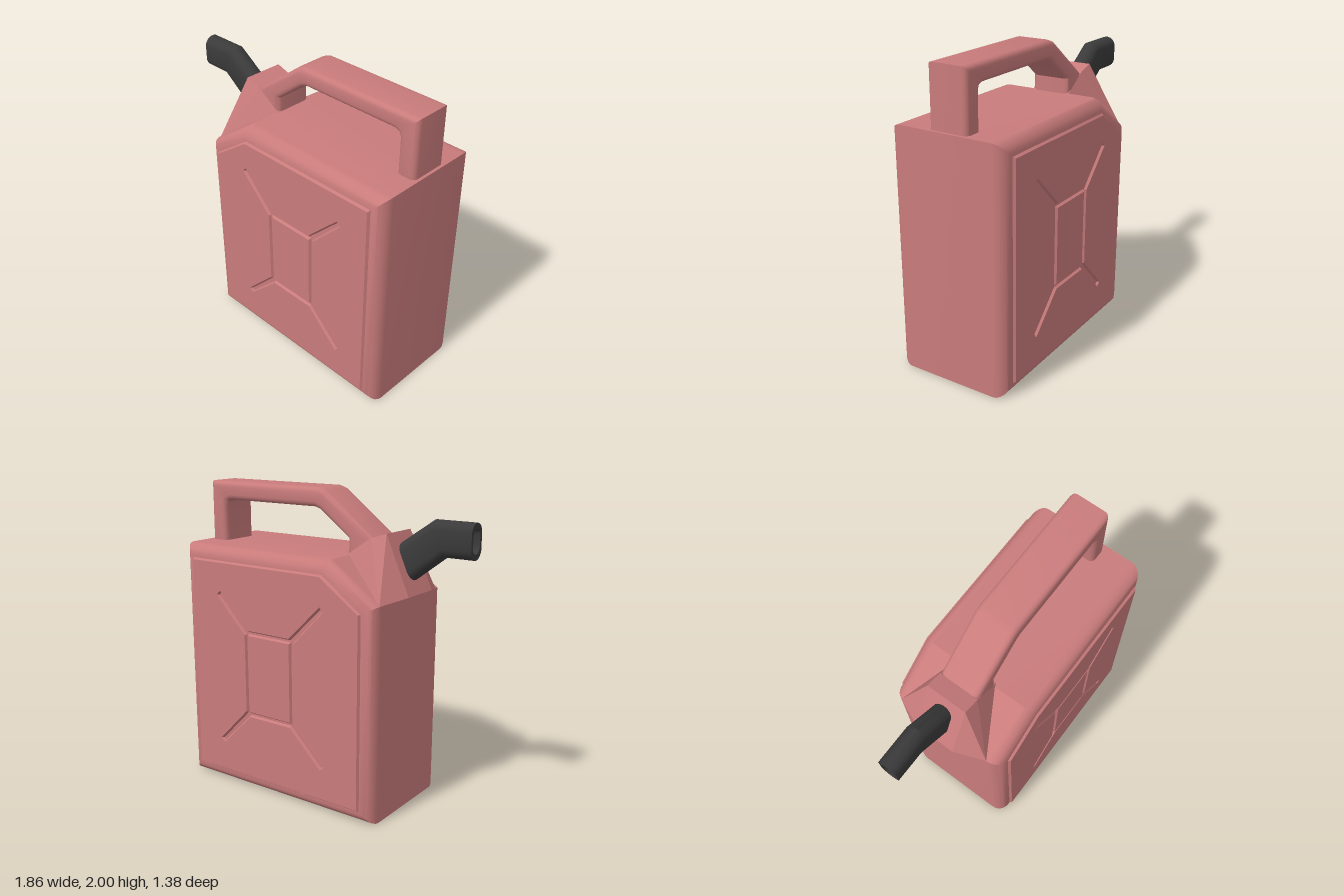
import * as THREE from 'three';
import { toCreasedNormals } from 'three/addons/utils/BufferGeometryUtils.js';
import { ConvexGeometry } from 'three/addons/geometries/ConvexGeometry.js';

const red = new THREE.MeshStandardMaterial({ color: 0xc97b7b });
const black = new THREE.MeshStandardMaterial({ color: 0x3a3a3a, side: THREE.DoubleSide });

const points = (list) => list.map(([x, y]) => new THREE.Vector2(x, y));

function mesh(name, geometry, material = red) {
  const m = new THREE.Mesh(geometry, material);
  m.name = name;
  return m;
}

// Extrudes side-on shapes to a total width centred on z = 0, bevelling inward.
function slab(shapes, width, bevel, segments, thickness = bevel) {
  const g = new THREE.ExtrudeGeometry(shapes, {
    depth: width - 2 * thickness, bevelEnabled: true, bevelSize: bevel,
    bevelThickness: thickness, bevelOffset: -bevel, bevelSegments: segments, curveSegments: 1,
  });
  g.translate(0, 0, -width / 2 + thickness);
  return toCreasedNormals(g, 0.6);
}

// Can outline seen from the side, inset by d
function outline(d) {
  return points([
    [-0.65 + d, d], [0.84 - d, d], [0.84 - d, 1.61 - d],
    [-0.31 + 0.32 * d, 1.61 - d], [-0.65 + d, 1.37 - 0.52 * d],
  ]);
}

// Groove outline: a rectangle with a thin arm running out of each corner
function grooveHole(cx, cy) {
  const hw = 0.185, hh = 0.28, aw = 0.405, ah = 0.5, t = 0.009;
  const list = [];
  for (const [sx, sy] of [[1, 1], [-1, 1], [-1, -1], [1, -1]]) {
    const arm = [
      [hw, hh - 2 * t], [aw + t * 0.7, ah - t * 0.7],
      [aw - t * 0.7, ah + t * 0.7], [hw - 2 * t, hh],
    ];
    if (sx * sy < 0) arm.reverse();
    for (const [x, y] of arm) list.push([cx + sx * x, cy + sy * y]);
  }
  return new THREE.Path(points(list));
}

function rectangle(cx, cy, w, h) {
  return new THREE.Shape(points([[cx - w, cy - h], [cx + w, cy - h], [cx + w, cy + h], [cx - w, cy + h]]));
}

// Bent spout: stadium sections along a path, then a recessed mouth
function spoutGeometry() {
  const n = 20, halfWidth = 0.064;
  // Each section: top point, bottom point, scale
  const sections = [
    [[-0.55, 1.665], [-0.67, 1.46], 1],
    [[-0.82, 1.85], [-0.9, 1.635], 1],
    [[-1.08, 1.85], [-1.08, 1.635], 1],
    [[-1.08, 1.85], [-1.08, 1.635], 0.68],
    [[-0.98, 1.85], [-0.98, 1.635], 0.68],
    [[-0.98, 1.85], [-0.98, 1.635], 0.001],
  ];
  const position = [], index = [];
  sections.forEach(([top, bottom, s], r) => {
    const half = Math.hypot(top[0] - bottom[0], top[1] - bottom[1]) / 2;
    for (let i = 0; i < n; i++) {
      const a = ((i + 0.5) / n) * Math.PI * 2;
      const straight = Math.sign(Math.sin(a)) * (half - halfWidth);
      const k = (s * (straight + Math.sin(a) * halfWidth)) / half / 2;
      position.push(
        (top[0] + bottom[0]) / 2 + k * (top[0] - bottom[0]),
        (top[1] + bottom[1]) / 2 + k * (top[1] - bottom[1]),
        s * Math.cos(a) * halfWidth,
      );
      if (r > 0) {
        const j = (i + 1) % n, p = (r - 1) * n, q = r * n;
        index.push(p + i, q + i, p + j, p + j, q + i, q + j);
      }
    }
  });
  const g = new THREE.BufferGeometry();
  g.setAttribute('position', new THREE.Float32BufferAttribute(position, 3));
  g.setIndex(index);
  // Make the outer wall face outward
  g.computeVertexNormals();
  if (g.attributes.normal.getZ(n) * position[n * 3 + 2] < 0) g.setIndex(index.reverse());
  return toCreasedNormals(g, 0.6);
}

export function createModel() {
  const root = new THREE.Group();
  root.name = 'fuelCan';
  const can = new THREE.Group();
  can.name = 'can';
  can.rotation.y = -Math.PI / 6;
  root.add(can);

  // Main tank with rounded long edges
  const tank = new THREE.Group();
  tank.name = 'tank';
  tank.position.z = -0.062;
  tank.add(mesh('tankBody', slab(new THREE.Shape(outline(0)), 0.81, 0.09, 6)));

  // Side panels, pierced by the stamped grooves
  const panel = new THREE.Shape(outline(0.085));
  panel.holes.push(grooveHole(0.118, 0.81));
  const panelGeometry = slab([panel, rectangle(0.118, 0.81, 0.174, 0.268)], 0.05, 0.011, 1, 0.016);
  for (const side of [1, -1]) {
    const m = mesh(side > 0 ? 'frontPanel' : 'backPanel', panelGeometry);
    m.position.z = side * (0.42 - 0.025);
    tank.add(m);
  }
  can.add(tank);

  // Handle, neck and spout share one centre line
  const top = new THREE.Group();
  top.name = 'topFittings';
  top.position.z = -0.078;
  const arch = new THREE.Shape(points([
    [0.82, 1.55], [0.82, 2], [-0.07, 2], [-0.12, 1.982], [-0.46, 1.725], [-0.46, 1.4], [-0.29, 1.4],
    [-0.29, 1.71], [-0.08, 1.865], [-0.04, 1.88], [0.655, 1.88], [0.68, 1.87], [0.69, 1.845], [0.69, 1.55],
  ]));
  top.add(mesh('handle', slab(arch, 0.27, 0.035, 4)));

  // Neck block flaring down to the shoulders of the tank
  const neck = [];
  for (const s of [1, -1]) {
    for (const [x, y] of [[-0.73, 1.4], [-0.57, 1.76], [-0.46, 1.725], [-0.29, 1.61]]) {
      neck.push(new THREE.Vector3(x, y, s * 0.135));
    }
    neck.push(new THREE.Vector3(-0.65, 1.37, s * 0.325));
  }
  top.add(mesh('neck', new ConvexGeometry(neck)));
  top.add(mesh('spout', spoutGeometry(), black));
  can.add(top);

  return root;
}
